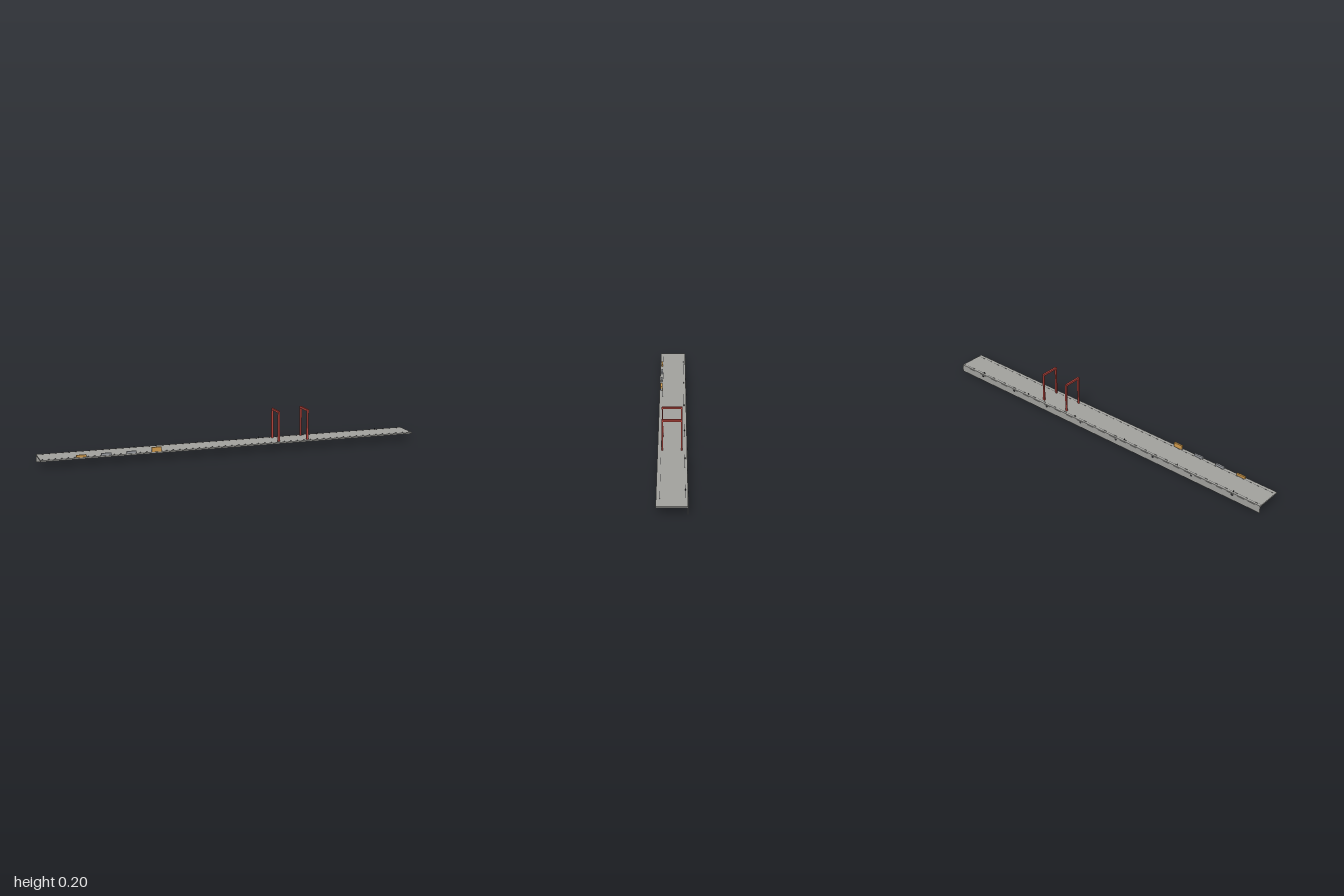
import * as THREE from 'three';

const mat = (name, color) => Object.assign(new THREE.MeshStandardMaterial({ color }), { name });

export function createModel() {
  const root = new THREE.Group();
  const steel = mat('steel grey', 0xa0a09c);
  const dark = mat('dark bolt grey', 0x38383a);
  const red = mat('rail red', 0xb8453d);
  const amber = mat('amber', 0xd09a4c);
  const blockGrey = mat('block grey', 0x9c9fa4);

  // Box given by its minimum and maximum corners
  const box = (name, material, [x0, y0, z0], [x1, y1, z1], parent = root) => {
    const mesh = new THREE.Mesh(new THREE.BoxGeometry(x1 - x0, y1 - y0, z1 - z0), material);
    mesh.position.set((x0 + x1) / 2, (y0 + y1) / 2, (z0 + z1) / 2);
    mesh.name = name;
    parent.add(mesh);
    return mesh;
  };

  // Long deck and the flange hanging from its back edge
  box('deck', steel, [-1, 0.033, -0.07], [1, 0.04, 0.073]);
  box('backFlange', steel, [-1, 0, -0.071], [1, 0.036, -0.067]);

  // Fine seams along the deck
  for (const z of [-0.058, 0.056]) {
    box('deckSeam', dark, [-1, 0.0395, z - 0.0005], [1, 0.0404, z + 0.0005]);
  }

  // Two upright hoops across the deck
  for (const x of [0.24, 0.4]) {
    const hoop = new THREE.Group();
    hoop.name = 'hoop';
    root.add(hoop);
    const a = x - 0.005, b = x + 0.005;
    box('frontPost', red, [a, 0.04, 0.047], [b, 0.19, 0.054], hoop);
    box('backPost', red, [a, 0.04, -0.048], [b, 0.19, -0.041], hoop);
    box('topBar', red, [a, 0.19, -0.048], [b, 0.2, 0.054], hoop);
  }

  // Small blocks on the front edge
  const blocks = [[-0.8, 0.052, amber], [-0.675, 0.052, blockGrey], [-0.547, 0.052, blockGrey], [-0.418, 0.063, amber]];
  for (const [x, top, material] of blocks) {
    box('edgeBlock', material, [x - 0.025, 0.04, 0.059], [x + 0.025, top, 0.068]);
  }
  // Grey core showing at the ends of the tall block
  box('blockCore', blockGrey, [-0.444, 0.04, 0.0595], [-0.392, 0.052, 0.0675]);

  // Bolts through the flange
  const boltGeometry = new THREE.CylinderGeometry(0.006, 0.006, 0.003, 12).rotateX(Math.PI / 2);
  for (let i = 0; i < 8; i++) {
    const bolt = new THREE.Mesh(boltGeometry, dark);
    bolt.name = 'flangeBolt';
    bolt.position.set(-0.84 + i * 0.24, 0.029, -0.0711);
    root.add(bolt);
  }

  // Upright pins along the back of the deck
  const pinGeometry = new THREE.CylinderGeometry(0.002, 0.002, 0.008, 10);
  for (let i = 0; i < 6; i++) {
    const pin = new THREE.Mesh(pinGeometry, dark);
    pin.name = 'deckPin';
    pin.position.set(-0.84 + i * 0.336, 0.043, -0.059);
    root.add(pin);
  }
  return root;
}
